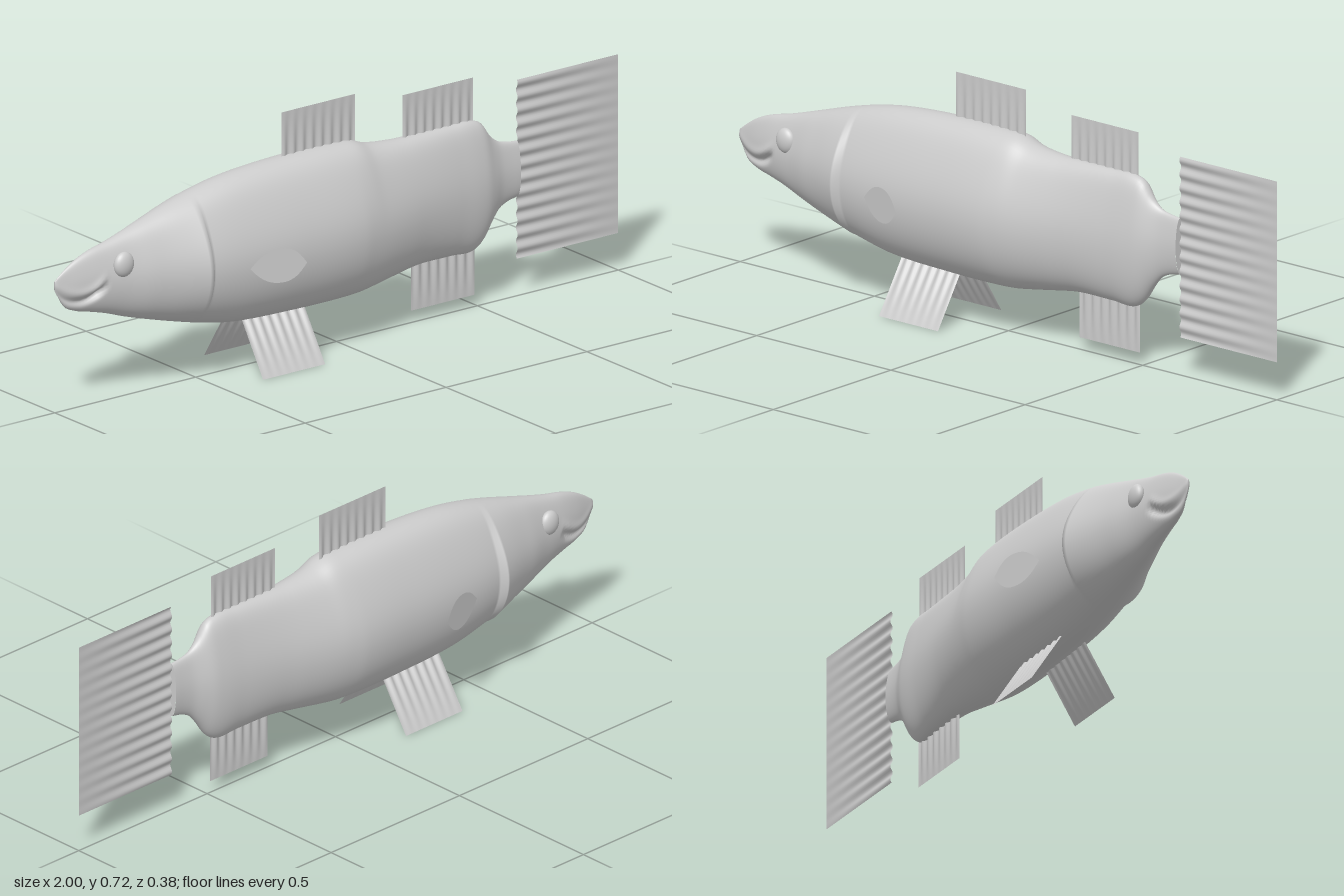
import * as THREE from 'three';

const skin = new THREE.MeshStandardMaterial({ color: 0xcccccc });
skin.name = 'pale grey skin';
const finSkin = new THREE.MeshStandardMaterial({ color: 0xcccccc, side: THREE.DoubleSide });
finSkin.name = 'pale grey fin';

// Body stations: x, top y, bottom y, half width
const stations = [
  [-1, 0.39, 0.36, 0.004], [-0.97, 0.413, 0.31, 0.013], [-0.93, 0.437, 0.288, 0.024],
  [-0.88, 0.456, 0.275, 0.035], [-0.82, 0.47, 0.258, 0.047], [-0.77, 0.484, 0.24, 0.058],
  [-0.7, 0.505, 0.218, 0.08], [-0.6, 0.535, 0.19, 0.107], [-0.5, 0.56, 0.165, 0.123],
  [-0.4, 0.577, 0.146, 0.132], [-0.2, 0.59, 0.136, 0.14], [0, 0.59, 0.135, 0.138],
  [0.05, 0.586, 0.137, 0.13], [0.1, 0.568, 0.144, 0.12], [0.2, 0.556, 0.16, 0.099],
  [0.27, 0.555, 0.17, 0.085], [0.4, 0.555, 0.17, 0.066], [0.48, 0.553, 0.17, 0.057],
  [0.51, 0.54, 0.192, 0.051], [0.54, 0.498, 0.235, 0.039], [0.57, 0.474, 0.27, 0.027],
  [0.6, 0.465, 0.286, 0.022], [0.64, 0.46, 0.295, 0.02],
];
const profile = new THREE.CubicInterpolant(stations.map(s => s[0]), stations.flatMap(s => s.slice(1)), 3);
const bell = (v, width) => Math.exp(-((v / width) ** 2));

// One point on the body surface; angle 0 is the back, PI the belly
function bodyPoint(x, angle) {
  const [top, bottom, half] = profile.evaluate(x);
  const c = Math.cos(angle), s = Math.sin(angle);
  const middle = bottom + (top - bottom) * 0.46;
  const y = middle + c * (c > 0 ? top - middle : middle - bottom);
  let z = s * half;
  if (c > 0) z *= 1 - 0.09 * Math.sin(2 * angle) ** 2;
  // gill covers flare out, then drop back
  if (x > -0.68 && x < -0.535) z += Math.sign(s) * 0.022 * s * s * ((x + 0.68) / 0.14) ** 2;
  // curved mouth crease
  if (x < -0.84) {
    const mouthY = 0.318 + 6 * (x + 0.925) ** 2;
    const fade = Math.min(1, (-0.84 - x) / 0.03);
    z *= 1 - 0.5 * fade * bell(y - mouthY, 0.011) + 0.15 * fade * bell(y - mouthY - 0.026, 0.012);
  }
  return [x, y, z];
}

function bodyGeometry() {
  const rows = 164, around = 72, points = [], index = [];
  for (let i = 0; i <= rows; i++)
    for (let j = 0; j < around; j++)
      points.push(...bodyPoint(-1 + 1.64 * i / rows, j / around * Math.PI * 2));
  for (let i = 0; i < rows; i++)
    for (let j = 0; j < around; j++) {
      const a = i * around + j, c = i * around + (j + 1) % around;
      index.push(a, c, a + around, c, c + around, a + around);
    }
  // nose tip closes the front ring
  const nose = points.length / 3;
  points.push(-1, 0.375, 0);
  for (let j = 0; j < around; j++) index.push(nose, (j + 1) % around, j);
  const g = new THREE.BufferGeometry();
  g.setAttribute('position', new THREE.Float32BufferAttribute(points, 3));
  g.setIndex(index);
  g.computeVertexNormals();
  return g;
}

// Rectangular fin: root edge along local x at y = 0, ripples fading to the tip
function finGeometry(length, height, waves) {
  const g = new THREE.PlaneGeometry(length, height, waves * 8, 6).translate(0, height / 2, 0);
  const p = g.attributes.position;
  for (let i = 0; i < p.count; i++) {
    const u = p.getX(i) / length + 0.5, v = p.getY(i) / height;
    p.setZ(i, 0.004 * (1 - v) * Math.sin(u * waves * Math.PI * 2));
  }
  g.computeVertexNormals();
  return g;
}

export function createModel() {
  const group = new THREE.Group();
  const add = (name, geometry, material = finSkin) => {
    const mesh = new THREE.Mesh(geometry, material);
    mesh.name = name;
    group.add(mesh);
    return mesh;
  };

  add('body', bodyGeometry(), skin);
  const stump = add('tailStump', new THREE.CircleGeometry(1, 40).rotateY(Math.PI / 2), skin);
  stump.scale.set(1, 0.0825, 0.02);
  stump.position.set(0.64, 0.3775, 0);

  // Fins on the centre line
  add('frontDorsalFin', finGeometry(0.26, 0.15, 8)).position.set(-0.065, 0.57, 0);
  add('rearDorsalFin', finGeometry(0.25, 0.14, 8)).position.set(0.36, 0.54, 0);
  const anal = add('analFin', finGeometry(0.225, 0.145, 7));
  anal.position.set(0.377, 0.18, 0);
  anal.rotation.x = Math.PI;
  const tail = add('tailFin', finGeometry(0.53, 0.36, 13));
  tail.position.set(0.64, 0.375, 0);
  tail.rotation.z = -Math.PI / 2;

  // Leaf outline of the side fin, pointed at the root
  const leaf = new THREE.Shape();
  leaf.moveTo(0, 0);
  leaf.bezierCurveTo(0.03, 0.035, 0.06, 0.055, 0.105, 0.05);
  leaf.bezierCurveTo(0.14, 0.045, 0.155, 0.02, 0.17, 0);
  leaf.bezierCurveTo(0.155, -0.02, 0.14, -0.045, 0.105, -0.05);
  leaf.bezierCurveTo(0.06, -0.055, 0.03, -0.035, 0, 0);

  for (const side of [1, -1]) {
    const label = side > 0 ? 'left' : 'right';

    const pectoral = add(label + 'PectoralFin', new THREE.ShapeGeometry(leaf, 10));
    pectoral.position.set(-0.415, 0.34, side * 0.141);
    pectoral.rotation.y = -side * 0.3;

    const pelvic = add(label + 'PelvicFin', finGeometry(0.22, 0.19, 7));
    pelvic.position.set(-0.255, 0.16, side * 0.032);
    pelvic.rotation.x = Math.PI - side * 0.57;

    const eye = add(label + 'Eye', new THREE.SphereGeometry(1, 28, 18), skin);
    eye.scale.set(0.033, 0.037, 0.02);
    eye.position.set(-0.79, 0.408, side * 0.045);
  }
  return group;
}
